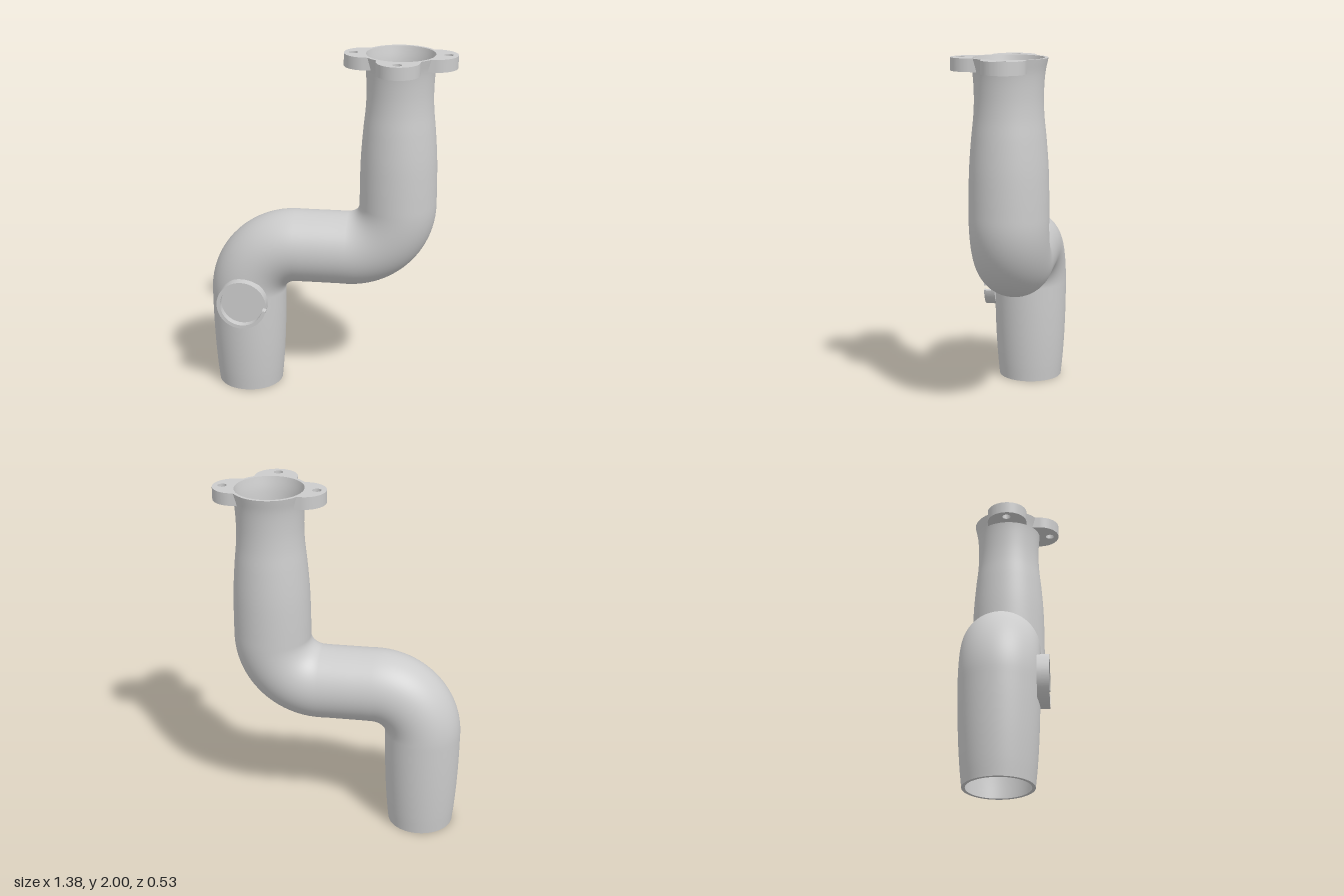
import * as THREE from 'three';

const AXIS_Z = -0.045, LOW_X = -0.48, TOP_X = 0.38, BEND = 0.28, WALL = 0.018, SIDES = 72;
const material = new THREE.MeshStandardMaterial({ color: 0xcccccc });

function part(name, geometry, parent) {
  const mesh = new THREE.Mesh(geometry, material);
  mesh.name = name;
  parent.add(mesh);
  return mesh;
}

// Smooth radius lookup: points are [height, radius]
function radiusCurve(points, steps) {
  const curve = new THREE.CatmullRomCurve3(points.map(([y, r]) => new THREE.Vector3(r, y, 0)));
  return curve.getPoints(steps).map(p => [p.y, p.x]);
}

// Stations along the S-shaped centre line: position, tangent angle and radius
function pipeStations() {
  const list = [];
  const add = (x, y, angle, r) => list.push({ x, y, angle, r });
  const up = Math.PI / 2, n = 24;
  for (const [y, r] of radiusCurve([[0, 0.187], [0.1, 0.197], [0.25, 0.207], [0.42, 0.213], [0.58, 0.215]], 20))
    add(LOW_X, y, up, r);
  for (let i = 1; i <= n; i++) {
    const a = up * i / n;
    add(LOW_X + BEND * (1 - Math.cos(a)), 0.58 + BEND * Math.sin(a), up - a, 0.215 - 0.005 * i / n);
  }
  for (let i = 1; i < 6; i++) add(-0.2 + 0.3 * i / 6, 0.86, 0, 0.209);
  for (let i = 0; i < n; i++) {
    const a = up * i / n;
    add(0.1 + BEND * Math.sin(a), 1.14 - BEND * Math.cos(a), a, 0.21 + 0.006 * i / n);
  }
  for (const [y, r] of radiusCurve([[1.14, 0.216], [1.28, 0.215], [1.42, 0.211], [1.58, 0.199], [1.7, 0.187],
    [1.8, 0.184], [1.92, 0.191], [2, 0.207]], 40))
    add(TOP_X, y, up, r);
  return list;
}

// Skin circular rings into a closed-around tube surface
function skin(stations) {
  const pos = [], index = [];
  stations.forEach((s, i) => {
    for (let j = 0; j < SIDES; j++) {
      const a = j / SIDES * Math.PI * 2, c = s.r * Math.cos(a);
      pos.push(s.x + c * Math.sin(s.angle), s.y - c * Math.cos(s.angle), AXIS_Z + s.r * Math.sin(a));
      if (i === stations.length - 1) continue;
      const k = (j + 1) % SIDES, p = i * SIDES, q = p + SIDES;
      index.push(p + j, q + j, p + k, q + j, q + k, p + k);
    }
  });
  const g = new THREE.BufferGeometry();
  g.setAttribute('position', new THREE.Float32BufferAttribute(pos, 3));
  g.setIndex(index);
  g.computeVertexNormals();
  return g;
}

// Mounting ear pointing along +x from the pipe axis, with a bolt hole
function earGeometry() {
  const w = 0.118, inner = 0.192, tip = 0.192, a = Math.asin(w / inner);
  const s = new THREE.Shape();
  s.moveTo(inner * Math.cos(a), -w);
  s.lineTo(tip, -w);
  s.absarc(tip, 0, w, -Math.PI / 2, Math.PI / 2, false);
  s.lineTo(inner * Math.cos(a), w);
  s.absarc(0, 0, inner, a, -a, true);
  s.holes.push(new THREE.Path().absarc(0.257, 0, 0.025, 0, Math.PI * 2, true));
  const g = new THREE.ExtrudeGeometry(s, { depth: 0.07, bevelEnabled: false, curveSegments: 32 });
  return g.rotateX(-Math.PI / 2);
}

export function createModel() {
  const model = new THREE.Group();
  model.name = 'pipe';

  // Hollow pipe: outer wall, inner wall and the two end rims
  const outer = pipeStations();
  const inner = outer.map(s => ({ ...s, r: s.r - WALL }));
  const last = outer.length - 1;
  part('outerWall', skin(outer), model);
  part('innerWall', skin([...inner].reverse()), model);
  part('bottomRim', skin([inner[0], outer[0]]), model);
  part('topRim', skin([outer[last], inner[last]]), model);

  // Three flange ears: left, right and front
  const flange = new THREE.Group();
  flange.name = 'flange';
  flange.position.set(TOP_X, 1.93, AXIS_Z);
  const ear = earGeometry();
  [0, -Math.PI / 2, Math.PI].forEach((turn, i) => {
    part(['leftEar', 'frontEar', 'rightEar'][i], ear, flange).rotation.y = turn;
  });
  model.add(flange);

  // Round port on the lower front: base disc and a raised lip with a notch
  const port = new THREE.Group();
  port.name = 'port';
  port.position.set(LOW_X, 0.575, 0.155);
  const R = 0.142, r = 0.122, from = 0, to = Math.PI * 2 - 0.21;
  const base = new THREE.CylinderGeometry(R, R, 0.022, 64).rotateX(Math.PI / 2);
  part('portBase', base, port).position.z = 0.011;
  const lip = new THREE.Shape();
  lip.absarc(0, 0, R, from, to, false);
  lip.absarc(0, 0, r, to, from, true);
  lip.closePath();
  const lipGeometry = new THREE.ExtrudeGeometry(lip, { depth: 0.042, bevelEnabled: false, curveSegments: 64 });
  part('portLip', lipGeometry, port).position.z = 0.022;
  model.add(port);

  return model;
}
